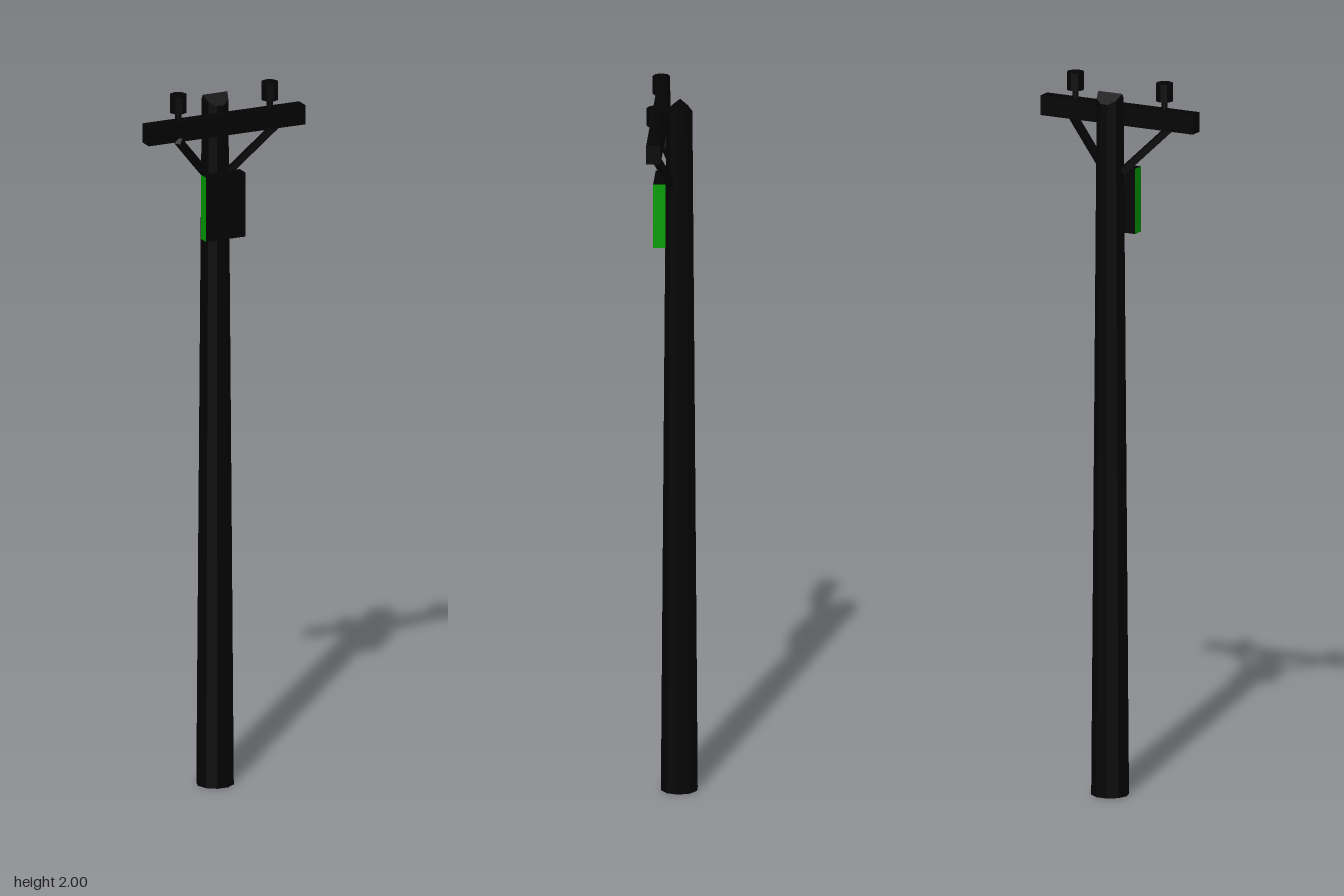
import * as THREE from 'three';

const black = new THREE.MeshStandardMaterial({ color: 0x030303, flatShading: true });
black.name = 'black';
const green = new THREE.MeshStandardMaterial({ color: 0x00a000 });
green.name = 'green';

function add(parent, name, geometry, material, x = 0, y = 0, z = 0) {
  const mesh = new THREE.Mesh(geometry, material);
  mesh.name = name;
  mesh.position.set(x, y, z);
  parent.add(mesh);
  return mesh;
}

// Tapered ten-sided pole whose top is cut to a ridge running left to right
function poleGeometry() {
  const top = 1.97;
  const g = new THREE.CylinderGeometry(0.037, 0.052, top, 10);
  g.rotateY(Math.PI / 10);
  g.translate(0, top / 2, 0);
  const p = g.attributes.position;
  for (let i = 0; i < p.count; i++) {
    if (p.getY(i) > 1) p.setY(i, top - 0.75 * Math.abs(p.getZ(i)));
  }
  g.computeVertexNormals();
  return g;
}

// Square bar between two points
function addBar(parent, name, from, to, size) {
  const dir = to.clone().sub(from);
  const bar = add(parent, name, new THREE.BoxGeometry(size, size, dir.length()), black);
  bar.position.copy(from).add(to).multiplyScalar(0.5);
  bar.lookAt(to);
}

export function createModel() {
  const model = new THREE.Group();
  model.name = 'utilityPole';

  // The whole post is turned slightly about its own axis
  const post = new THREE.Group();
  post.name = 'post';
  post.position.set(0.003, 0, -0.021);
  post.rotation.y = -0.06;
  model.add(post);

  add(post, 'pole', poleGeometry(), black);
  add(post, 'crossarm', new THREE.BoxGeometry(0.472, 0.055, 0.039), black, 0, 1.898, 0.057);

  // Equipment box with green side faces (order: +x, -x, +y, -y, +z, -z)
  add(post, 'equipmentBox', new THREE.BoxGeometry(0.118, 0.183, 0.034),
    [green, green, black, black, black, black], 0, 1.663, 0.051);

  // Insulators and diagonal braces on both sides
  for (const [side, s] of [['left', 1], ['right', -1]]) {
    const insulator = new THREE.Group();
    insulator.name = side + 'Insulator';
    insulator.position.set(s * 0.138, 1.92, 0.057);
    post.add(insulator);
    add(insulator, 'stem', new THREE.CylinderGeometry(0.009, 0.009, 0.04, 8), black, 0, 0.015, 0);
    add(insulator, 'cap', new THREE.CylinderGeometry(0.024, 0.024, 0.05, 8), black, 0, 0.055, 0);

    addBar(post, side + 'Brace',
      new THREE.Vector3(s * 0.028, 1.745, 0.032),
      new THREE.Vector3(s * 0.155, 1.88, 0.054), 0.018);
  }

  return model;
}
